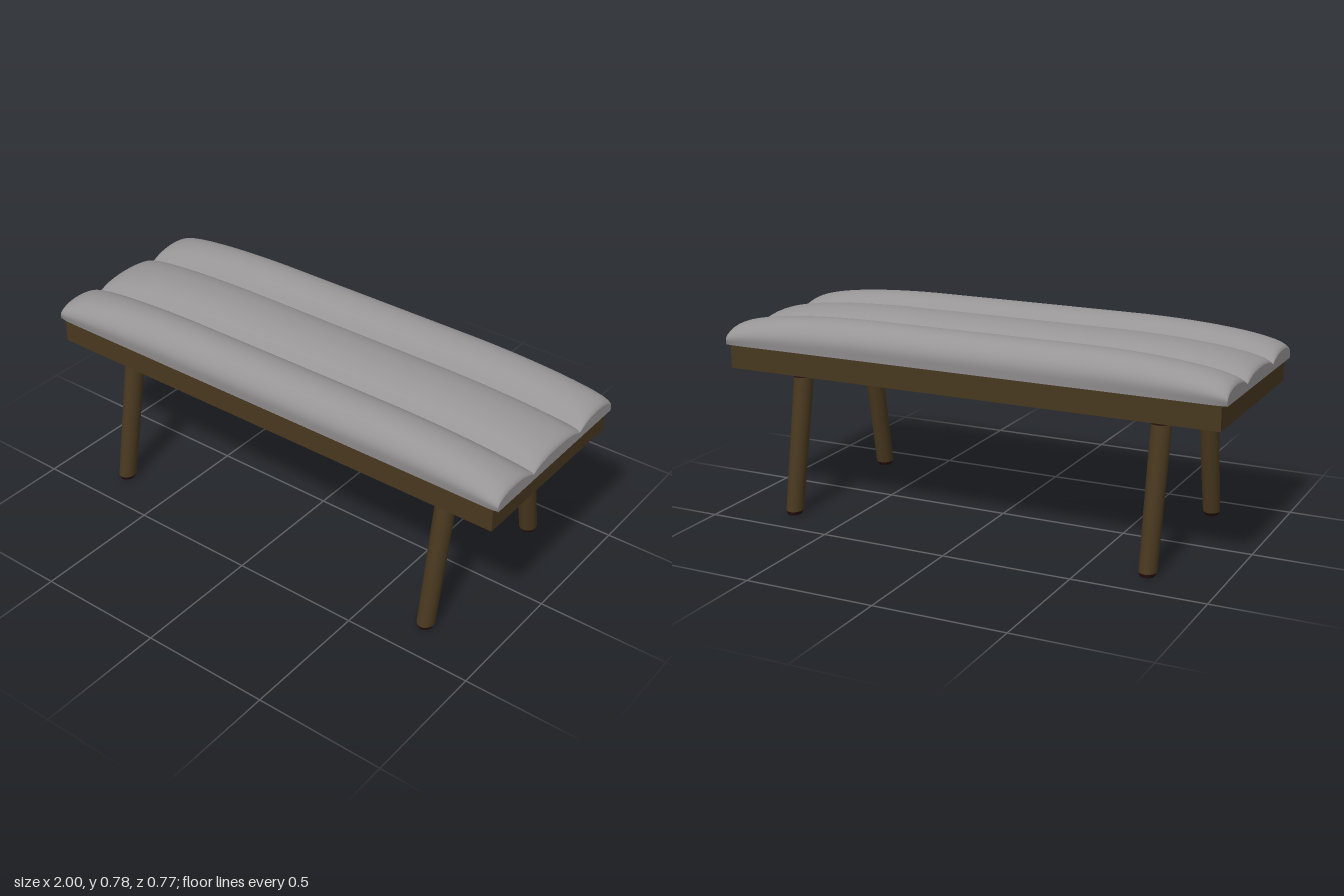
import * as THREE from 'three';

const flat = (name, color) => {
  const m = new THREE.MeshStandardMaterial({ color });
  m.name = name;
  return m;
};

// Loft one padded roll along x; profile points are (z, height), z decreasing
function rollGeometry(profile) {
  const curve = new THREE.CatmullRomCurve3(profile.map(([z, y]) => new THREE.Vector3(0, y, z)));
  const section = curve.getPoints(28);
  const rows = 40, n = section.length, base = 0.65;
  const positions = [], index = [];
  const point = (i, j) => {
    const a = (i / rows - 0.5) * Math.PI;
    const u = Math.abs(Math.sin(a));
    const x = Math.sign(a) * (0.4 + 0.6 * u) * (a === 0 ? 0 : 1);
    const swell = 0.4 + 0.6 * Math.cos(a);
    const tuck = 1 - 0.02 * Math.pow(u, 40);
    return [x, base + section[j].y * swell, section[j].z * tuck];
  };
  for (let i = 0; i <= rows; i++)
    for (let j = 0; j < n; j++) positions.push(...point(i, j));
  for (let i = 0; i < rows; i++)
    for (let j = 0; j < n - 1; j++) {
      const a = i * n + j, b = a + n;
      index.push(a, b, a + 1, b, b + 1, a + 1);
    }
  // Flat upright faces at both ends
  for (const i of [0, rows]) {
    const start = positions.length / 3;
    for (let j = 0; j < n; j++) {
      const [x, y, z] = point(i, j);
      positions.push(x, base, z, x, y, z);
    }
    for (let j = 0; j < n - 1; j++) {
      const b = start + j * 2, p = b + 1, b2 = b + 2, p2 = b + 3;
      if (i) index.push(b, b2, p, p, b2, p2);
      else index.push(b, p, b2, p, p2, b2);
    }
  }
  const g = new THREE.BufferGeometry();
  g.setAttribute('position', new THREE.Float32BufferAttribute(positions, 3));
  g.setIndex(index);
  g.computeVertexNormals();
  return g;
}

// Leg piece between two heights, sheared so the leg splays outwards in z
function legPiece(y0, y1, r0, r1, side) {
  const g = new THREE.CylinderGeometry(r1, r0, y1 - y0, 20, 1);
  g.translate(0, (y0 + y1) / 2, 0);
  const p = g.attributes.position;
  for (let i = 0; i < p.count; i++)
    p.setZ(i, p.getZ(i) * 1.14 + side * (0.35 - 0.185 * p.getY(i)));
  g.computeVertexNormals();
  return g;
}

export function createModel() {
  const model = new THREE.Group();
  model.name = 'bench';
  const fabric = flat('grey fabric', 0x989596);
  const wood = flat('dark wood', 0x48381f);
  const shade = flat('dark red stain', 0x2a1010);
  const add = (name, geometry, material, parent = model) => {
    const mesh = new THREE.Mesh(geometry, material);
    mesh.name = name;
    parent.add(mesh);
    return mesh;
  };

  // Cushion: three rolls with sharp seams between them
  const cushion = new THREE.Group();
  cushion.name = 'cushion';
  model.add(cushion);
  const outer = [[0.374, 0], [0.38, 0.05], [0.367, 0.085], [0.33, 0.118], [0.28, 0.129],
    [0.225, 0.119], [0.185, 0.093], [0.155, 0.06]];
  const half = [[0.155, 0.06], [0.13, 0.085], [0.1, 0.105], [0.05, 0.12]];
  const mirror = (pts) => pts.map(([z, y]) => [-z, y]).reverse();
  add('frontRoll', rollGeometry(outer), fabric, cushion);
  add('middleRoll', rollGeometry([...half, [0, 0.124], ...mirror(half)]), fabric, cushion);
  add('backRoll', rollGeometry(mirror(outer)), fabric, cushion);
  const under = add('cushionUnderside', new THREE.PlaneGeometry(2, 0.746), fabric, cushion);
  under.rotation.x = Math.PI / 2;
  under.position.y = 0.65;

  // Seat frame with stained underside
  const frame = add('seatFrame', new THREE.BoxGeometry(1.96, 0.09, 0.74),
    [wood, wood, wood, shade, wood, wood]);
  frame.position.y = 0.605;

  // Four splayed legs
  for (const x of [-0.73, 0.73])
    for (const side of [-1, 1]) {
      const leg = new THREE.Group();
      leg.name = (side > 0 ? 'front' : 'back') + (x > 0 ? 'Left' : 'Right') + 'Leg';
      leg.position.x = x;
      model.add(leg);
      add('foot', legPiece(0, 0.015, 0.026, 0.033, side), shade, leg);
      add('shaft', legPiece(0.015, 0.53, 0.033, 0.037, side), wood, leg);
      add('collar', legPiece(0.53, 0.565, 0.037, 0.038, side), shade, leg);
    }
  return model;
}
